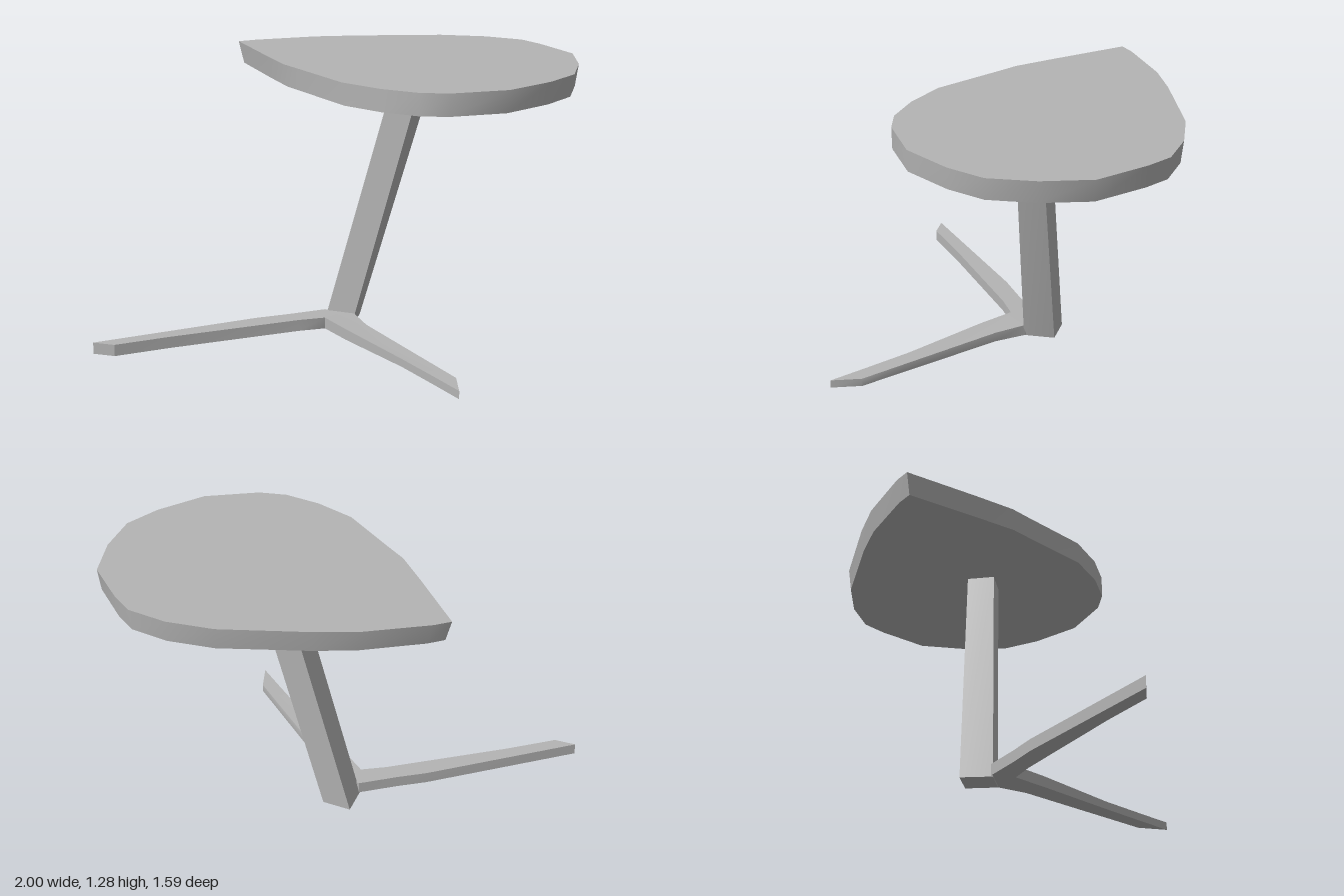
import * as THREE from 'three';
import { toCreasedNormals } from 'three/addons/utils/BufferGeometryUtils.js';

const grey = new THREE.MeshStandardMaterial({ color: 0xb4b4b4 });
grey.name = 'plain grey';

// Solid between two matching rings of [x, y, z] points, counter-clockwise seen from above
function prism(name, bottom, top) {
  const flat = top.map(([x, , z]) => new THREE.Vector2(x, -z));
  const positions = [];
  const tri = (a, b, c) => positions.push(...a, ...b, ...c);
  for (const [a, b, c] of THREE.ShapeUtils.triangulateShape(flat, [])) {
    tri(top[a], top[b], top[c]);
    tri(bottom[c], bottom[b], bottom[a]);
  }
  top.forEach((p, i) => {
    const j = (i + 1) % top.length;
    tri(bottom[i], bottom[j], top[j]);
    tri(bottom[i], top[j], p);
  });
  const geometry = new THREE.BufferGeometry();
  geometry.setAttribute('position', new THREE.Float32BufferAttribute(positions, 3));
  const mesh = new THREE.Mesh(toCreasedNormals(geometry, 0.6), grey);
  mesh.name = name;
  return mesh;
}

const ring = (outline, y) => outline.map(([x, z]) => [x, y, z]);

export function createModel() {
  const model = new THREE.Group();
  model.name = 'stool';

  // Teardrop seat, slightly narrower underneath
  const seat = [
    [-0.71, -0.27], [-0.45, 0.0], [-0.3, 0.15], [-0.21, 0.21], [0.08, 0.41],
    [0.28, 0.47], [0.46, 0.485], [0.59, 0.45], [0.81, 0.3], [0.94, 0.08],
    [1.0, -0.1], [0.97, -0.32], [0.89, -0.54], [0.69, -0.71], [0.58, -0.78],
    [0.39, -0.797], [0.17, -0.76], [-0.22, -0.6], [-0.4, -0.51], [-0.65, -0.33],
  ];
  const under = seat.map(([x, z]) => [0.44 + (x - 0.44) * 0.974, 0.49 + (z - 0.49) * 0.991]);
  model.add(prism('seat', ring(under, 1.18), ring(seat, 1.283)));

  // Leaning four-sided post
  model.add(prism('post',
    ring([[-0.155, 0.03], [-0.015, 0.03], [-0.028, -0.12], [-0.17, -0.12]], 0),
    ring([[0.167, -0.02], [0.3, -0.02], [0.315, -0.15], [0.167, -0.15]], 1.19)));

  // Long foot running out to the right
  const longFoot = [
    [-1.0, 0.79], [-0.895, 0.783], [-0.7, 0.605], [-0.22, 0.2], [-0.115, 0.127],
    [-0.06, 0.02], [-0.155, 0.02], [-0.3, 0.145], [-0.42, 0.24],
  ];
  model.add(prism('longFoot', ring(longFoot, 0.005), ring(longFoot, 0.06)));

  // Short foot running out to the left, thinning toward its toe
  const shortFoot = [
    [-0.115, 0.127], [0.03, 0.235], [0.39, 0.48], [0.58, 0.622], [0.735, 0.74],
    [0.68, 0.605], [0.5, 0.46], [0.1, 0.14], [-0.01, 0.02], [-0.06, 0.02],
  ];
  const taper = (low, high) => shortFoot.map(([x, z]) =>
    [x, THREE.MathUtils.lerp(low, high, THREE.MathUtils.clamp(x / 0.2, 0, 1)), z]);
  model.add(prism('shortFoot', taper(0.005, 0.014), taper(0.06, 0.052)));

  return model;
}
